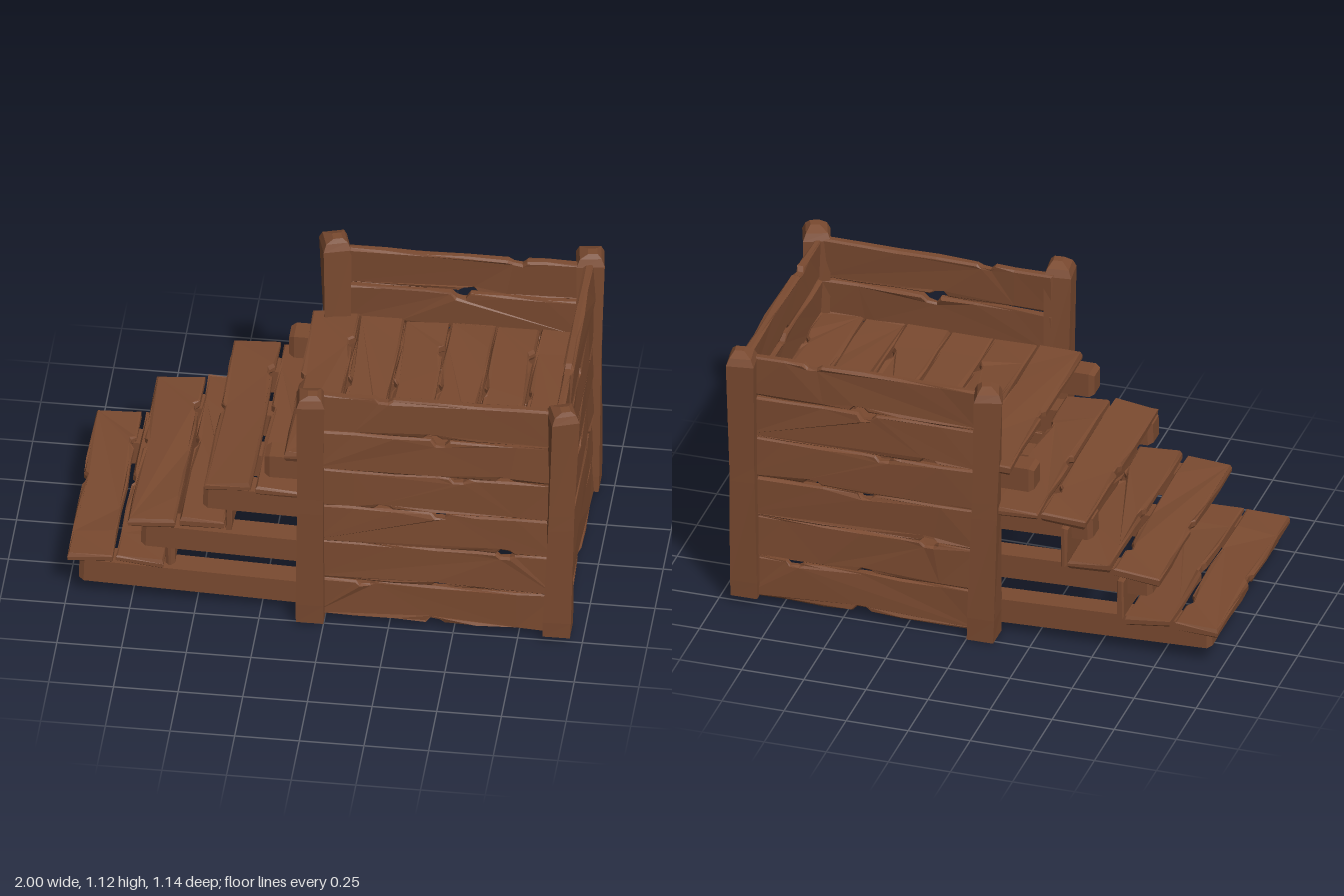
import * as THREE from 'three';

// Repeatable noise in -1..1
const hash = (a, b, c = 0) => {
  const s = Math.sin(a * 127.1 + b * 311.7 + c * 74.7) * 43758.5453;
  return 2 * (s - Math.floor(s)) - 1;
};

// Rough board: length on x, width on y, thickness on z.
// top / bottom list the chips in each long edge as [position, depth].
function boardGeometry(length, width, thick, seed, top, bottom, rough = 0.005) {
  const edge = (chips, side) => {
    const pts = [];
    const n = Math.max(3, Math.round(length / 0.16));
    for (let i = 0; i <= n; i++) {
      const x = -length / 2 + (length * i) / n;
      if (chips.some(([u]) => Math.abs(x - u) < 0.05)) continue;
      pts.push([x, width / 2 + 0.003 * hash(i, side, seed)]);
    }
    for (const [u, d] of chips) {
      pts.push([u - 0.037, width / 2], [u - 0.019, width / 2 - d],
        [u + 0.016, width / 2 - d * 0.85], [u + 0.036, width / 2 - 0.002]);
    }
    return pts.sort((a, b) => a[0] - b[0]).map(([x, y]) => new THREE.Vector2(x, y * side));
  };
  const shape = new THREE.Shape([...edge(bottom, -1), ...edge(top, 1).reverse()]);
  const bevel = 0.007;
  const g = new THREE.ExtrudeGeometry(shape, {
    depth: thick - 2 * bevel, bevelThickness: bevel, bevelSize: bevel,
    bevelOffset: -bevel, bevelSegments: 1, steps: 1,
  });
  g.translate(0, 0, bevel - thick / 2);
  // Uneven hewn faces
  const p = g.attributes.position;
  for (let i = 0; i < p.count; i++) {
    const z = p.getZ(i);
    p.setZ(i, z + rough * hash(Math.round(p.getX(i) * 500), Math.round(p.getY(i) * 500), seed + Math.sign(z)));
  }
  g.computeVertexNormals();
  return g;
}

// Box whose cross-section is moved at each level: levels = [y, cx, cz, halfX, halfZ, turn]
function loftBox(levels) {
  const g = new THREE.BoxGeometry(2, 1, 2, 1, levels.length - 1, 1);
  const p = g.attributes.position;
  for (let i = 0; i < p.count; i++) {
    const [y, cx, cz, hx, hz, turn = 0] = levels[Math.round((p.getY(i) + 0.5) * (levels.length - 1))];
    const x = p.getX(i) * hx, z = p.getZ(i) * hz;
    const c = Math.cos(turn), s = Math.sin(turn);
    p.setXYZ(i, cx + x * c + z * s, y, cz - x * s + z * c);
  }
  g.computeVertexNormals();
  return g;
}

export function createModel() {
  const wood = new THREE.MeshStandardMaterial({ color: 0x7a4a30 });
  wood.name = 'brownWood';
  wood.flatShading = true;
  const model = new THREE.Group();
  model.name = 'woodenPlatformWithSteps';
  const add = (parent, name, geometry) => {
    const m = new THREE.Mesh(geometry, wood);
    m.name = name;
    parent.add(m);
    return m;
  };

  // Wall boards, from bottom to top: [y0, y1, top chips, bottom chips]
  const rows = [
    [0.03, 0.2, [[-0.27, 0.015]], [[0, 0.022]]],
    [0.205, 0.382, [[0.27, 0.018]], [[0.02, 0.018]]],
    [0.385, 0.553, [[0.02, 0.02]], [[0.27, 0.02]]],
    [0.558, 0.728, [[0.09, 0.02]], [[-0.2, 0.018]]],
    [0.733, 0.907, [[0.02, 0.028]], [[0.27, 0.018]]],
    [0.915, 1.083, [[-0.2, 0.016]], [[-0.01, 0.018]]],
  ];
  const walls = [
    ['frontWall', 0.43, 0.467, 0, 0.94],
    ['backWall', 0.43, -0.472, Math.PI, 0.94],
    ['rightHandWall', 0.908, -0.005, Math.PI / 2, 0.92],
  ];
  walls.forEach(([name, x, z, turn, length], w) => {
    const wall = new THREE.Group();
    wall.name = name;
    wall.position.set(x, 0, z);
    wall.rotation.y = turn;
    rows.forEach(([y0, y1, top, bottom], i) => {
      const board = add(wall, 'wallBoard', boardGeometry(length, y1 - y0, 0.034, w * 10 + i, top, bottom));
      board.position.y = (y0 + y1) / 2;
      board.rotation.z = 0.004 * hash(i, w);
      board.rotation.x = -0.03;
    });
    model.add(wall);
  });

  // Corner posts, leaning outwards, with pointed tops: [name, base x, base z, top x, top z, base y, turn]
  const posts = [
    ['frontStepPost', -0.052, 0.468, -0.05, 0.51, 0.012, 0.12],
    ['frontOuterPost', 0.9, 0.465, 0.925, 0.49, 0.03, 0.35],
    ['backStepPost', -0.055, -0.465, -0.08, -0.49, 0, 0.3],
    ['backOuterPost', 0.895, -0.465, 0.905, -0.515, 0.03, 0.15],
  ];
  for (const [name, bx, bz, tx, tz, by, turn] of posts) {
    const at = (y, h, dx = 0, dz = 0) => {
      const t = y / 1.12;
      return [y, bx + (tx - bx) * t + dx, bz + (tz - bz) * t + dz, h, h, turn * t];
    };
    add(model, name, loftBox([
      at(by, 0.053), at(0.1, 0.054), at(0.55, 0.05), at(0.62, 0.049), at(1.075, 0.054), at(1.105, 0.042), at(1.122, 0.018, 0.01, 0.012),
    ]));
  }

  // Boards laid flat, running front to back: [name, x0, x1, y, z0, z1, tilt]
  const flat = [
    ['stepBoard', -1, -0.825, 0.18, -0.48, 0.44, 0.06],
    ['stepBoard', -0.81, -0.625, 0.18, -0.48, 0.44, -0.08],
    ['stepBoard', -0.765, -0.58, 0.37, -0.48, 0.44, 0.06],
    ['stepBoard', -0.567, -0.395, 0.385, -0.48, 0.44, -0.05],
    ['stepBoard', -0.468, -0.29, 0.57, -0.48, 0.44, 0.06],
    ['stepBoard', -0.275, -0.1, 0.565, -0.48, 0.44, -0.05],
    ['platformBoard', -0.16, 0.018, 0.75, -0.47, 0.45, 0.02],
    ['platformBoard', 0.023, 0.195, 0.75, -0.45, 0.45, 0],
    ['platformBoard', 0.2, 0.368, 0.75, -0.45, 0.45, 0.01],
    ['platformBoard', 0.373, 0.545, 0.75, -0.45, 0.45, -0.01],
    ['platformBoard', 0.55, 0.717, 0.75, -0.45, 0.45, 0],
    ['platformBoard', 0.722, 0.892, 0.75, -0.45, 0.45, 0.01],
  ];
  flat.forEach(([name, x0, x1, y, z0, z1, tilt], i) => {
    const low = [[-0.03, 0.016]];
    const high = [[i % 2 ? 0.22 : -0.27, 0.02]];
    const g = boardGeometry(z1 - z0, x1 - x0, 0.034, 50 + i, high, low, 0.007);
    g.rotateX(tilt);
    g.applyMatrix4(new THREE.Matrix4().makeBasis(
      new THREE.Vector3(0, 0, 1), new THREE.Vector3(1, 0, 0), new THREE.Vector3(0, 1, 0)));
    add(model, name, g).position.set((x0 + x1) / 2, y, (z0 + z1) / 2);
  });

  // Paired bearer beams with worn ends: [x0, x1, centre y at x0, centre y at x1]
  const beams = [
    [-0.955, 0.36, 0.12, 0.075],
    [-0.715, 0.36, 0.31, 0.275],
    [-0.475, 0.36, 0.515, 0.49],
    [-0.238, 0.88, 0.686, 0.686],
  ];
  for (const [x0, x1, y0, y1] of beams) {
    for (const z of [-0.37, 0.39]) {
      const len = x1 - x0;
      const g = loftBox([
        [-len / 2, 0, 0, 0.04, 0.036], [-len / 2 + 0.02, 0, 0, 0.05, 0.046],
        [len / 2 - 0.02, 0, 0, 0.05, 0.046], [len / 2, 0, 0, 0.042, 0.04],
      ]);
      const beam = add(model, 'bearerBeam', g);
      beam.position.set((x0 + x1) / 2, (y0 + y1) / 2, z);
      beam.rotation.z = -Math.PI / 2 + Math.atan2(y1 - y0, len);
    }
  }

  // Upright boards between the steps
  [[-0.603, 0.255], [-0.375, 0.445]].forEach(([x, y], i) => {
    const riser = add(model, 'riserBoard', boardGeometry(0.9, 0.17, 0.03, 80 + i, [[0.2, 0.015]], [[-0.2, 0.018]]));
    riser.position.set(x, y, -0.02);
    riser.rotation.y = Math.PI / 2;
  });

  return model;
}
